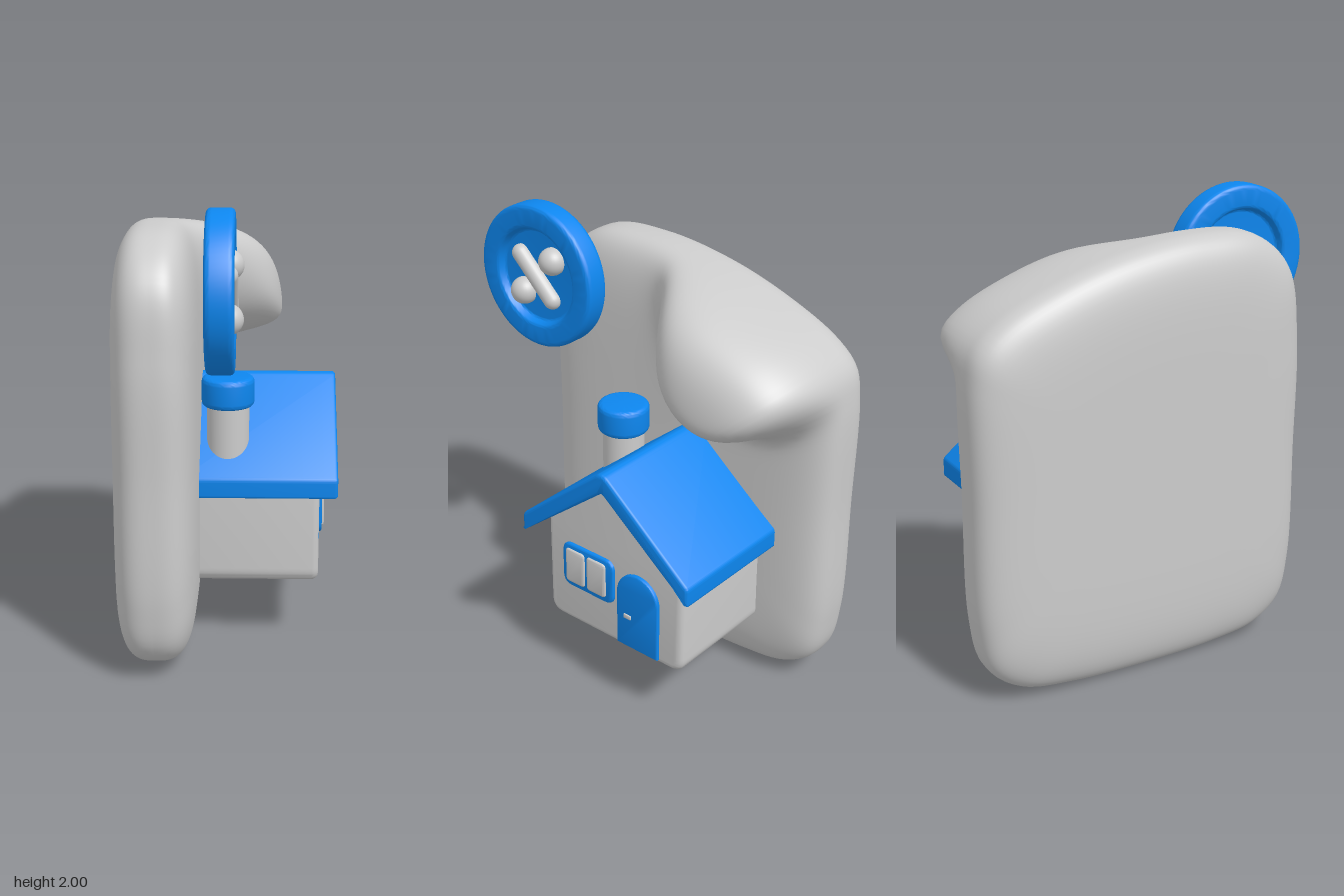
import * as THREE from 'three';
import { toCreasedNormals } from 'three/addons/utils/BufferGeometryUtils.js';

const grey = new THREE.MeshStandardMaterial({ color: 0xcccccc });
const blue = new THREE.MeshStandardMaterial({ color: 0x0d86ee });

function mesh(name, geometry, material, x = 0, y = 0, z = 0) {
  const m = new THREE.Mesh(geometry, material);
  m.name = name;
  m.position.set(x, y, z);
  return m;
}

// Polygon with rounded corners; a third number on a corner overrides the radius
function rounded(points, radius) {
  const shape = new THREE.Shape();
  const n = points.length;
  points.forEach(([px, py, r = radius], i) => {
    const p = new THREE.Vector2(px, py);
    const toward = (q) => new THREE.Vector2(q[0], q[1]).sub(p).setLength(r).add(p);
    const a = r ? toward(points[(i + n - 1) % n]) : p;
    if (i) shape.lineTo(a.x, a.y); else shape.moveTo(a.x, a.y);
    if (r) {
      const b = toward(points[(i + 1) % n]);
      shape.quadraticCurveTo(px, py, b.x, b.y);
    }
  });
  return shape;
}

const rect = (u0, u1, y0, y1, r) => rounded([[u0, y0], [u1, y0], [u1, y1], [u0, y1]], r);

// Profile drawn in (u = -z, y), extruded along x from x0 to x1 with soft edges
function slice(name, shape, x0, x1, bevel, material) {
  const g = new THREE.ExtrudeGeometry(shape, {
    depth: x1 - x0 - 2 * bevel, bevelEnabled: true, bevelSize: bevel, bevelThickness: bevel,
    bevelOffset: -bevel, bevelSegments: 4, curveSegments: 10,
  });
  g.translate(0, 0, x0 + bevel).rotateY(Math.PI / 2);
  return mesh(name, toCreasedNormals(g, 0.7), material);
}

// Turned part from a rounded half-profile that starts and ends on the axis
function turned(points, radius, segments = 64) {
  const pts = rounded(points.map((p) => (p[0] === 0 ? [p[0], p[1], 0] : p)), radius).getPoints(6);
  return toCreasedNormals(new THREE.LatheGeometry(pts, segments), 0.7);
}

// How far the lobe swells out of the slab at (u, y)
function lobe(u, y) {
  const z = -u;
  const logistic = (t) => 1 / (1 + Math.exp(-t));
  const floor = 1.275 + 1.6 * (z + 0.52) ** 2;
  const slope = Math.hypot(1, 3.2 * (z + 0.52));
  const softness = 0.024 + 0.05 * THREE.MathUtils.smoothstep(z, -0.25, 0.1);
  return 0.37 * logistic(-(z + 0.14) / 0.07) * logistic((y - floor) / slope / softness);
}

// Pillowy slab: the outline shrinks in rings to the middle of the back and front
function slabGeometry() {
  const outline = new THREE.CatmullRomCurve3([
    [-0.655, 1.4], [-0.657, 0.9], [-0.65, 0.35], [-0.6, 0.15], [-0.47, 0.05], [-0.25, 0.012],
    [0.11, 0], [0.48, 0.012], [0.7, 0.05], [0.83, 0.15], [0.877, 0.35], [0.884, 0.9],
    [0.884, 1.4], [0.855, 1.54], [0.75, 1.64], [0.5, 1.755], [0.2, 1.843],
    [-0.15, 1.885], [-0.43, 1.855], [-0.6, 1.71],
  ].map(([u, y]) => new THREE.Vector3(u, y, 0)), true);
  const around = 170, back = 24, front = 84, cu = 0.115, cy = 0.95;
  const rim = outline.getSpacedPoints(around).slice(0, around);
  const pos = [], index = [];
  for (let i = 0; i <= back + front; i++) {
    const isFront = i > back;
    const t = isFront ? (back + front - i) / front : i / back;
    const s = 1 - (1 - t) ** 3;
    const dome = Math.cbrt(Math.max(0, 1 - s ** 7));
    for (const p of rim) {
      const u = cu + (p.x - cu) * s;
      const y = cy + (p.y - cy) * s;
      const x = -0.3 + dome * (isFront ? 0.18 + lobe(u, y) : -0.175);
      pos.push(x, y, -u);
    }
  }
  for (let i = 0; i < back + front; i++) {
    for (let j = 0; j < around; j++) {
      const k = (j + 1) % around;
      const a = i * around + j, b = i * around + k, c = b + around, d = a + around;
      index.push(a, b, c, a, c, d);
    }
  }
  const g = new THREE.BufferGeometry();
  g.setAttribute('position', new THREE.Float32BufferAttribute(pos, 3));
  g.setIndex(index);
  g.computeVertexNormals();
  return g;
}

function createHouse() {
  const house = new THREE.Group();
  house.name = 'house';
  const mid = 0.205;

  // Walls with gable
  house.add(slice('walls', rounded([
    [mid - 0.378, 0.285, 0.07], [mid + 0.378, 0.285, 0.07], [mid + 0.378, 0.79, 0.01],
    [mid, 1.1, 0.01], [mid - 0.378, 0.79, 0.01],
  ], 0.01), -0.2, 0.4, 0.03, grey));

  // Chevron roof
  house.add(slice('roof', rounded([
    [mid - 0.458, 0.705], [mid, 1.068], [mid + 0.458, 0.705],
    [mid + 0.458, 0.795], [mid, 1.17, 0.045], [mid - 0.458, 0.795],
  ], 0.015), -0.2, 0.475, 0.015, blue));

  // Chimney and its cap
  house.add(mesh('chimney', new THREE.CylinderGeometry(0.092, 0.092, 0.3, 48), grey, 0, 0.96, 0.08));
  house.add(mesh('chimneyCap', turned([[0, 0], [0.114, 0], [0.114, 0.13], [0, 0.13]], 0.025),
    blue, 0, 1.078, 0.08));

  // Window: frame and two panes
  house.add(slice('windowFrame', rect(-0.075, 0.215, 0.482, 0.7, 0.05), 0.37, 0.416, 0.01, blue));
  for (const u of [-0.052, 0.068]) {
    house.add(slice('windowPane', rect(u, u + 0.108, 0.507, 0.677, 0.02), 0.39, 0.426, 0.012, grey));
  }

  // Arched door and handle
  const door = new THREE.Shape();
  door.moveTo(0.237, 0.31);
  door.lineTo(0.461, 0.31);
  door.lineTo(0.461, 0.578);
  door.absarc(0.349, 0.578, 0.112, 0, Math.PI, false);
  door.lineTo(0.237, 0.31);
  house.add(slice('door', door, 0.37, 0.418, 0.008, blue));
  house.add(slice('doorHandle', rect(0.28, 0.32, 0.46, 0.48, 0.004), 0.4, 0.424, 0.003, grey));
  return house;
}

function createButton() {
  const button = new THREE.Group();
  button.name = 'button';
  button.position.set(-0.0175, 1.675, 0.56);

  // Disc with a raised rim on both faces
  const disc = turned([
    [0, -0.02], [0.21, -0.02, 0.01], [0.222, -0.0575, 0.018], [0.325, -0.0575],
    [0.325, 0.0575], [0.222, 0.0575, 0.018], [0.21, 0.02, 0.01], [0, 0.02],
  ], 0.025, 80);
  button.add(mesh('buttonDisc', disc.rotateZ(-Math.PI / 2), blue));

  // Two round studs and a diagonal bar
  const stud = new THREE.SphereGeometry(0.062, 32, 20);
  for (const side of [1, -1]) button.add(mesh('buttonStud', stud, grey, 0.03, 0.09 * side, -0.088 * side));
  const bar = mesh('buttonBar', new THREE.CapsuleGeometry(0.04, 0.255, 10, 24), grey, 0.03, -0.005, 0.01);
  bar.rotation.x = 0.8;
  button.add(bar);
  return button;
}

export function createModel() {
  const model = new THREE.Group();
  model.name = 'houseWithButton';
  model.add(mesh('slab', slabGeometry(), grey), createHouse(), createButton());
  return model;
}
